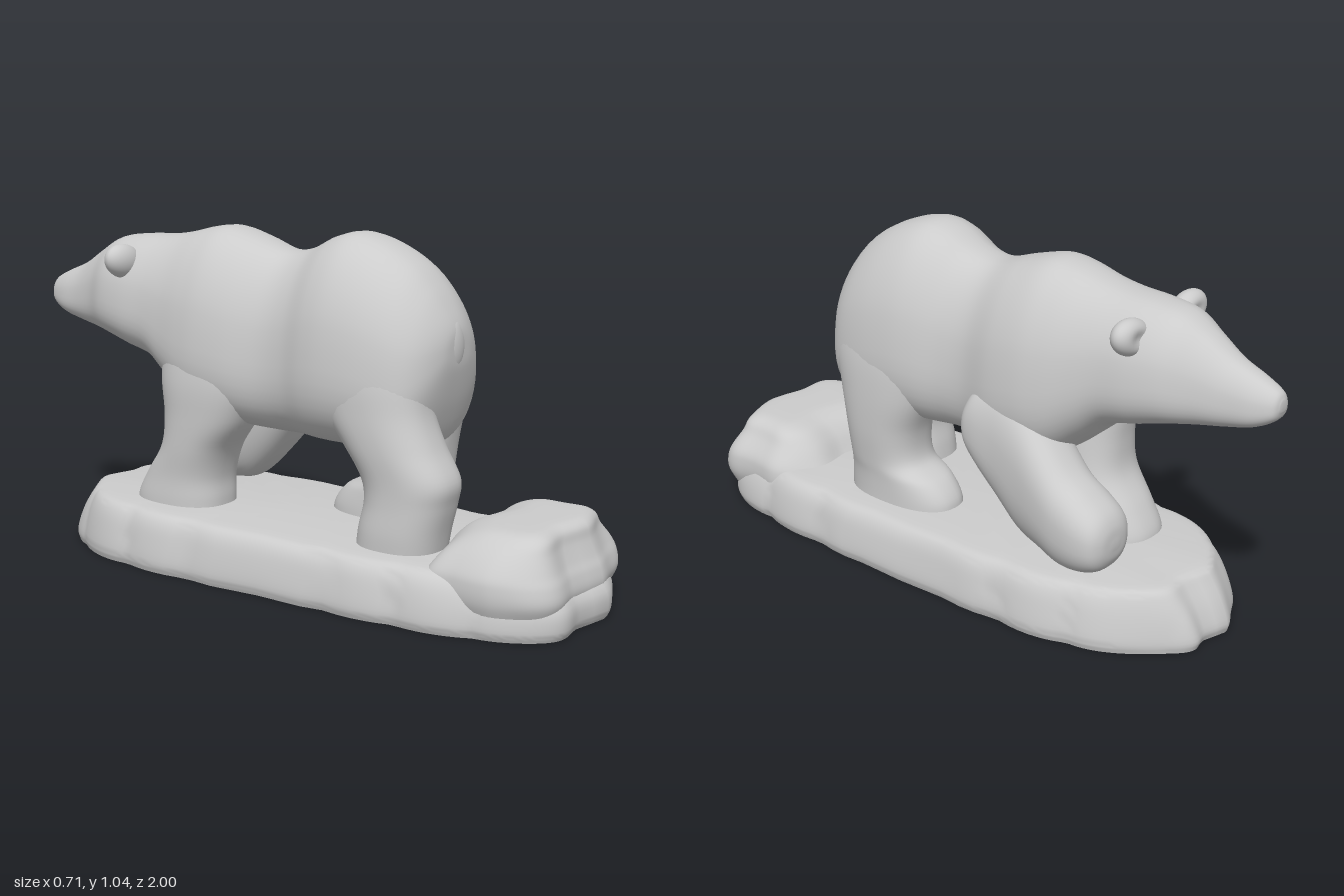
import * as THREE from 'three';
import { toCreasedNormals } from 'three/addons/utils/BufferGeometryUtils.js';

const material = new THREE.MeshStandardMaterial({ color: 0xcccccc });

// Smooth loft along 'z' or 'y'. Rows, in rising order: [position, low, high, centreX, halfWidth],
// low/high being heights (axis z) or depths (axis y). The ends are closed.
function loft(axis, rows, { power = 2, egg = 0, sides = 48, steps = 6, deform } = {}) {
  const curve = (f) => new THREE.CatmullRomCurve3(rows.map(f), false, 'catmullrom', 0.5);
  const centres = curve(([p, lo, hi, cx]) => new THREE.Vector3(cx, p, (lo + hi) / 2));
  const radii = curve(([, lo, hi, , rx]) => new THREE.Vector3(rx, (hi - lo) / 2, 0));
  const count = (rows.length - 1) * steps;
  const pos = [], index = [], v = new THREE.Vector3();
  const round = (s) => Math.sign(s) * Math.abs(s) ** (2 / power);
  for (let i = -1; i <= count + 1; i++) {
    const t = Math.min(Math.max(i / count, 0), 1);
    const c = centres.getPoint(t), r = radii.getPoint(t);
    const k = i < 0 || i > count ? 0 : 1;
    for (let j = 0; j < sides; j++) {
      const a = (j / sides) * Math.PI * 2;
      const x = c.x + k * r.x * round(Math.cos(a)) * (1 - egg * Math.sin(a));
      const s = k * r.y * round(Math.sin(a));
      if (axis === 'z') v.set(x, c.z + s, c.y);
      else v.set(x, c.y, c.z - s);
      if (deform) deform(v);
      pos.push(v.x, v.y, v.z);
    }
  }
  for (let i = 0; i < count + 2; i++) {
    for (let j = 0; j < sides; j++) {
      const a = i * sides + j, b = i * sides + ((j + 1) % sides);
      index.push(a, b, a + sides, b, b + sides, a + sides);
    }
  }
  const g = new THREE.BufferGeometry();
  g.setAttribute('position', new THREE.Float32BufferAttribute(pos, 3));
  g.setIndex(index);
  g.computeVertexNormals();
  return g;
}

export function createModel() {
  const model = new THREE.Group();
  const add = (name, geometry) => {
    const mesh = new THREE.Mesh(geometry, material);
    mesh.name = name;
    model.add(mesh);
    return mesh;
  };

  // Torso, neck and head in one sweep from nose to rump
  add('body', loft('z', [
    [-1.0, 0.76, 0.79, 0, 0.015],
    [-0.985, 0.73, 0.815, 0, 0.04],
    [-0.93, 0.7, 0.842, 0, 0.064],
    [-0.85, 0.68, 0.875, 0, 0.082],
    [-0.77, 0.665, 0.925, 0, 0.108],
    [-0.69, 0.65, 0.968, 0, 0.148],
    [-0.6, 0.625, 0.982, 0, 0.168],
    [-0.5, 0.595, 0.988, 0, 0.175],
    [-0.42, 0.53, 1.0, 0, 0.19],
    [-0.33, 0.46, 1.022, 0, 0.212],
    [-0.25, 0.44, 1.03, 0, 0.222],
    [-0.15, 0.43, 1.005, 0, 0.216],
    [-0.04, 0.425, 0.972, 0, 0.19],
    [0.05, 0.425, 0.985, 0, 0.195],
    [0.14, 0.42, 1.028, 0, 0.223],
    [0.22, 0.42, 1.042, 0, 0.236],
    [0.32, 0.42, 1.015, 0, 0.236],
    [0.41, 0.42, 0.965, 0, 0.222],
    [0.47, 0.45, 0.905, 0, 0.195],
    [0.51, 0.55, 0.845, 0, 0.145],
    [0.535, 0.66, 0.79, 0, 0.075],
    [0.54, 0.72, 0.74, 0, 0.012],
  ], { power: 2.4, egg: 0.22 }));

  // Tail, pressed against the rump
  const tail = add('tail', new THREE.SphereGeometry(1, 24, 16));
  tail.scale.set(0.055, 0.085, 0.032);
  tail.position.set(0, 0.735, 0.512);

  // Ears, hollowed towards the face
  for (const side of [-1, 1]) {
    const g = new THREE.SphereGeometry(1, 32, 24);
    const p = g.attributes.position;
    for (let i = 0; i < p.count; i++) {
      const r = Math.hypot(p.getX(i), p.getY(i));
      if (p.getZ(i) < 0) p.setZ(i, p.getZ(i) + 0.4 * Math.exp(-r * r * 5));
    }
    g.scale(0.075, 0.053, 0.043);
    g.computeVertexNormals();
    const ear = add(side > 0 ? 'leftEar' : 'rightEar', g);
    ear.position.set(side * 0.136, 0.908, -0.595);
    ear.rotation.z = side * 0.25;
  }

  // Hind legs: one planted forward, one trailing
  const legStyle = { power: 2.4 };
  add('leftHindLeg', loft('y', [
    [0.15, 0.04, 0.44, 0.13, 0.11],
    [0.2, 0.05, 0.44, 0.13, 0.108],
    [0.25, 0.09, 0.435, 0.132, 0.106],
    [0.3, 0.165, 0.43, 0.135, 0.107],
    [0.4, 0.17, 0.44, 0.138, 0.113],
    [0.52, 0.125, 0.465, 0.136, 0.116],
    [0.64, 0.1, 0.495, 0.122, 0.12],
    [0.76, 0.12, 0.48, 0.102, 0.11],
    [0.87, 0.18, 0.42, 0.08, 0.08],
  ], legStyle));
  add('rightHindLeg', loft('y', [
    [0.15, 0.3, 0.56, -0.12, 0.118],
    [0.22, 0.31, 0.572, -0.12, 0.12],
    [0.3, 0.325, 0.59, -0.116, 0.119],
    [0.37, 0.31, 0.598, -0.116, 0.119],
    [0.46, 0.25, 0.55, -0.119, 0.121],
    [0.55, 0.18, 0.515, -0.12, 0.121],
    [0.65, 0.12, 0.5, -0.116, 0.121],
    [0.76, 0.12, 0.48, -0.102, 0.11],
    [0.87, 0.18, 0.42, -0.08, 0.08],
  ], legStyle));

  // Front legs: one upright, one reaching forward with its paw on the ground
  add('rightFrontLeg', loft('y', [
    [0.15, -0.54, -0.22, -0.1, 0.125],
    [0.2, -0.53, -0.22, -0.1, 0.124],
    [0.27, -0.49, -0.22, -0.1, 0.12],
    [0.36, -0.43, -0.19, -0.105, 0.12],
    [0.46, -0.42, -0.12, -0.11, 0.118],
    [0.58, -0.43, -0.08, -0.115, 0.112],
    [0.72, -0.42, -0.1, -0.1, 0.1],
    [0.84, -0.36, -0.16, -0.08, 0.07],
  ], legStyle));
  add('leftFrontLeg', loft('z', [
    [-0.597, 0.28, 0.3, 0.175, 0.015],
    [-0.59, 0.24, 0.345, 0.175, 0.06],
    [-0.565, 0.205, 0.385, 0.175, 0.093],
    [-0.51, 0.185, 0.425, 0.174, 0.108],
    [-0.44, 0.18, 0.47, 0.17, 0.11],
    [-0.36, 0.195, 0.55, 0.156, 0.112],
    [-0.27, 0.215, 0.64, 0.14, 0.112],
    [-0.19, 0.28, 0.68, 0.13, 0.113],
    [-0.11, 0.37, 0.66, 0.13, 0.112],
    [-0.07, 0.43, 0.61, 0.13, 0.1],
    [-0.05, 0.48, 0.56, 0.13, 0.06],
  ], legStyle));

  // Ice slab with scalloped sides, sinking slightly towards the rear and tapering at the head end
  const scallop = (p) => {
    const edge = Math.min(1, Math.hypot(p.x / 0.3, (p.z - 0.08) / 0.85) ** 6);
    const notch = Math.abs(Math.sin(p.z * 13 + Math.sign(p.x) * 0.7)) ** 0.6;
    p.x *= 1 + edge * (0.05 * notch - 0.035);
    p.z += edge * 0.012 * Math.sin(p.x * 26);
    if (p.z < -0.3) p.x *= 1 - 0.38 * ((-0.3 - p.z) / 0.54) ** 3;
    p.y *= 0.96 - 0.06 * p.z;
  };
  add('iceSlab', toCreasedNormals(loft('y', [
    [0, -0.83, 0.975, 0, 0.342],
    [0.03, -0.835, 0.985, 0, 0.35],
    [0.09, -0.81, 0.98, 0, 0.342],
    [0.145, -0.775, 0.935, 0, 0.328],
    [0.175, -0.75, 0.89, 0, 0.305],
    [0.183, -0.71, 0.85, 0, 0.265],
  ], { power: 3.8, sides: 160, steps: 4, deform: scallop }), 1));

  // Raised ice block at the rear, flush with the end of the slab
  add('iceBlock', loft('y', [
    [0.05, 0.55, 0.95, 0, 0.28],
    [0.1, 0.55, 0.968, 0, 0.298],
    [0.145, 0.56, 0.96, 0, 0.3],
    [0.18, 0.58, 0.943, 0, 0.29],
    [0.225, 0.61, 0.925, 0, 0.255],
    [0.26, 0.65, 0.915, 0.01, 0.22],
    [0.277, 0.7, 0.89, 0.015, 0.18],
    [0.281, 0.74, 0.85, 0.02, 0.11],
  ], {
    power: 3.8, sides: 96,
    deform: (p) => {
      p.z += 0.01 * Math.sin(p.x * 26);
      p.x += 0.006 * Math.sin(p.z * 30);
    },
  }));

  return model;
}
